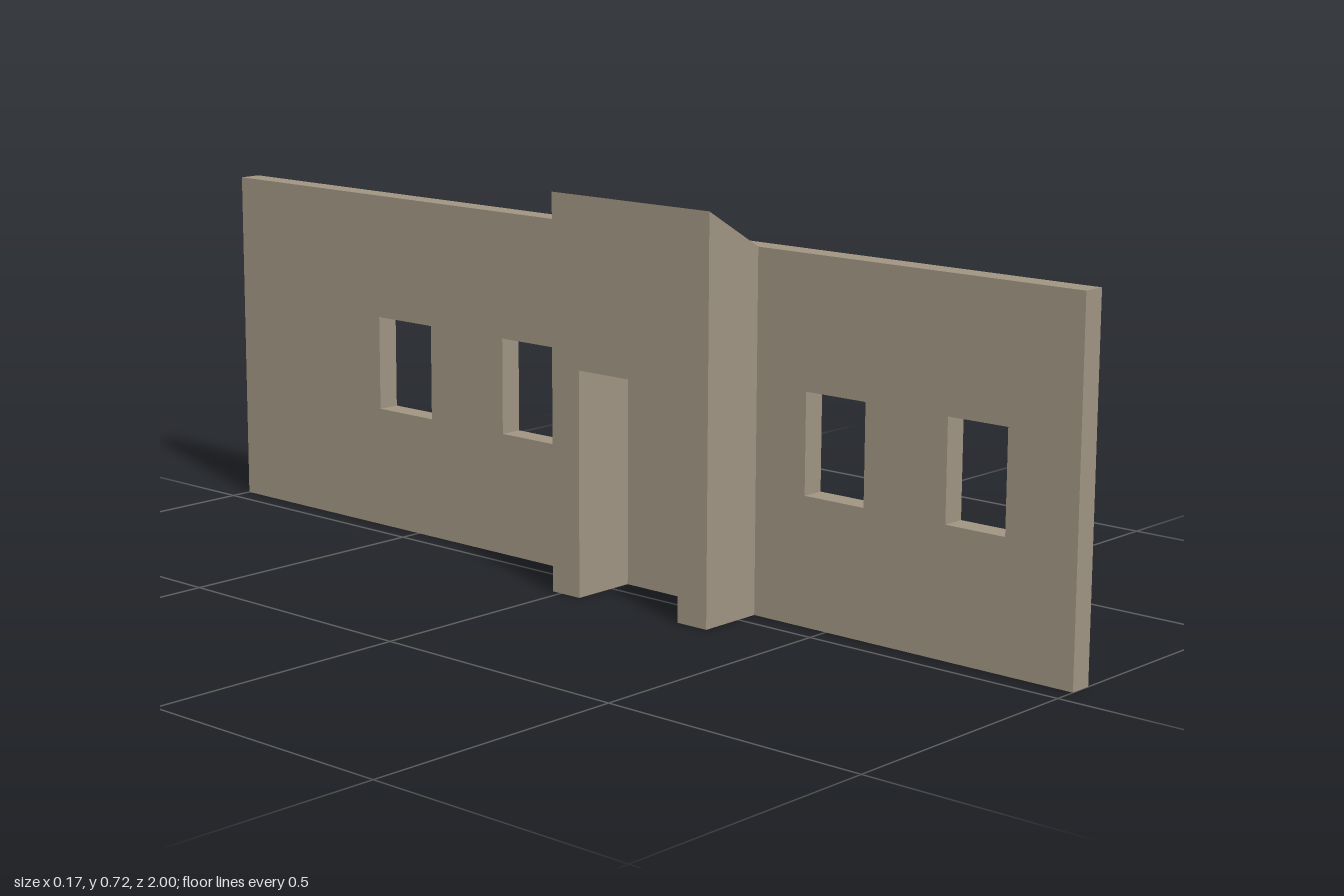
import * as THREE from 'three';

const material = new THREE.MeshStandardMaterial({ color: 0xa09482 });

const polygon = (points, Type = THREE.Shape) =>
  new Type(points.map(([z, y]) => new THREE.Vector2(z, y)));

const rectangle = (z0, z1, y0, y1) => [[z0, y0], [z1, y0], [z1, y1], [z0, y1]];

// Extrudes a (z, y) elevation from x = xFrom towards -x.
function slab(shape, xFrom, depth) {
  const geometry = new THREE.ExtrudeGeometry(shape, { depth, bevelEnabled: false });
  return geometry.rotateY(-Math.PI / 2).translate(xFrom, 0, 0);
}

function part(name, geometry) {
  const mesh = new THREE.Mesh(geometry, material);
  mesh.name = name;
  return mesh;
}

export function createModel() {
  const group = new THREE.Group();
  group.name = 'wallWithPorch';
  const wallTop = 0.645, peak = 0.718, innerX = 0.042, outerX = 0.085;

  // Long wall pierced by four windows
  const wall = polygon(rectangle(-1, 1, 0, wallTop));
  const windows = [[-0.603, -0.46], [-0.27, -0.135], [0.45, 0.576], [0.744, 0.862]];
  for (const [z0, z1] of windows) {
    wall.holes.push(polygon(rectangle(z0, z1, 0.23, 0.41), THREE.Path));
  }
  group.add(part('wall', slab(wall, outerX, outerX - innerX)));

  // Projecting porch with a doorway open to the ground
  const z0 = -0.02, z1 = 0.342, jamb = 0.065, doorTop = 0.41;
  const porch = slab(polygon([
    [z0, 0], [z0 + jamb, 0], [z0 + jamb, doorTop], [z1 - jamb, doorTop],
    [z1 - jamb, 0], [z1, 0], [z1, wallTop], [z0, wallTop],
  ]), innerX, innerX + outerX);

  // Raise the porch's outer top edge to slope its roof
  const position = porch.attributes.position;
  for (let i = 0; i < position.count; i++) {
    if (position.getX(i) < 0 && position.getY(i) > wallTop - 0.01) position.setY(i, peak);
  }
  porch.computeVertexNormals();
  group.add(part('porch', porch));

  return group;
}
